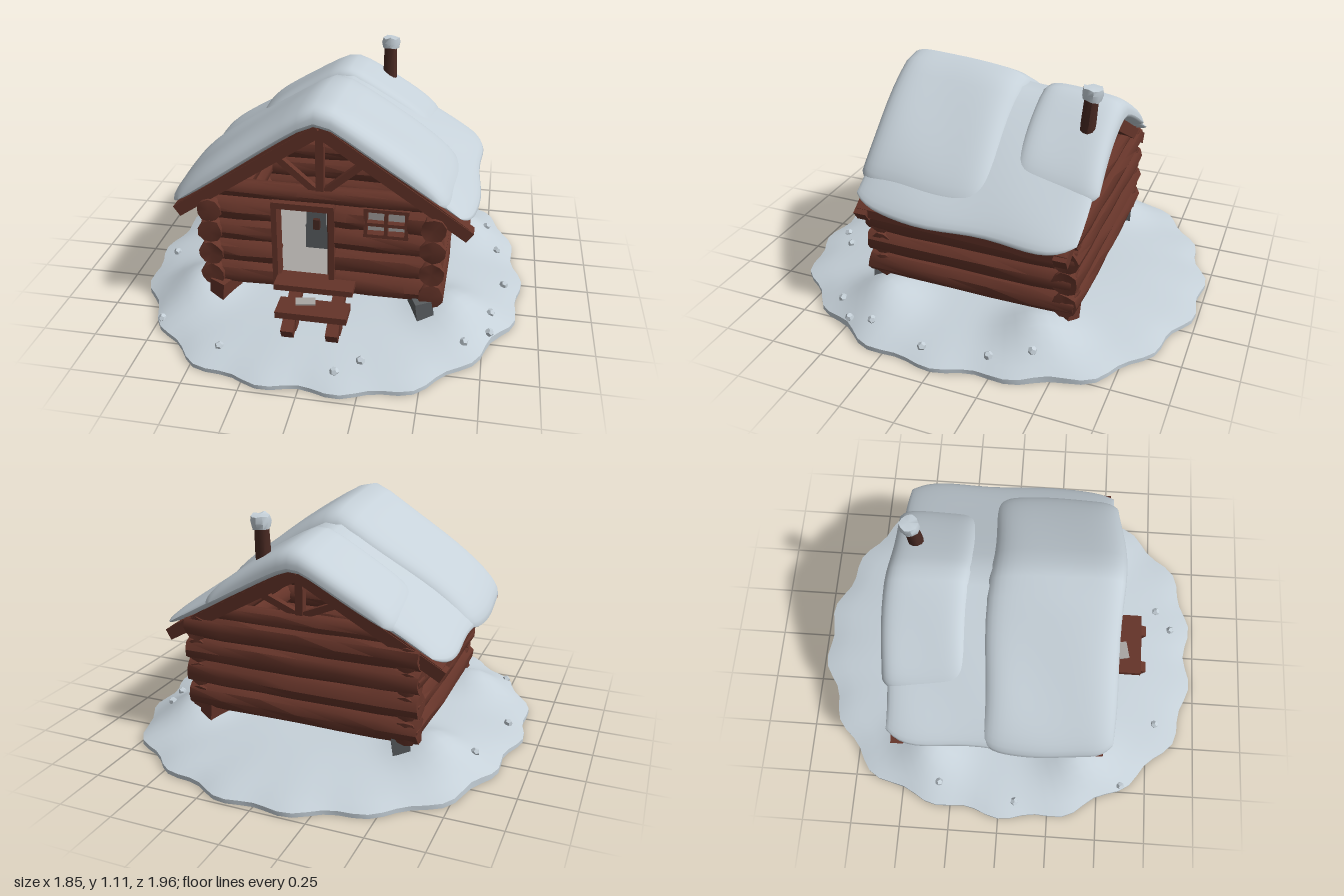
import * as THREE from 'three';
import { mergeVertices, toCreasedNormals } from 'three/addons/utils/BufferGeometryUtils.js';
import { ConvexGeometry } from 'three/addons/geometries/ConvexGeometry.js';

const material = (name, color) => Object.assign(new THREE.MeshStandardMaterial({ color }), { name });
const V = (x, y, z) => new THREE.Vector3(x, y, z);

export function createModel() {
  const model = new THREE.Group();
  model.name = 'snowyCabin';
  const snow = material('snow', 0xc6d1d9);
  const wood = material('redBrownWood', 0x653429);
  const darkWood = material('darkWood', 0x4a2a23);
  const stone = material('darkGrey', 0x5c6063);
  const pale = material('paleGrey', 0xa9a5a2);

  let seed = 7;
  const rand = () => (seed = (seed * 16807) % 2147483647) / 2147483647 - 0.5;

  const add = (name, geo, mat) => {
    const m = new THREE.Mesh(geo, mat);
    m.name = name;
    model.add(m);
    return m;
  };
  const box = (name, mat, w, h, d, x, y, z) => {
    const m = add(name, new THREE.BoxGeometry(w, h, d), mat);
    m.position.set(x, y, z);
    return m;
  };
  const span = (m, a, b) => {
    m.position.copy(a).add(b).multiplyScalar(0.5);
    m.quaternion.setFromUnitVectors(V(0, 1, 0), b.clone().sub(a).normalize());
    return m;
  };
  // Square timber between two points
  const beam = (name, a, b, w, d = w) =>
    span(add(name, new THREE.BoxGeometry(w, a.distanceTo(b), d), wood), a, b);

  // Uneven round log between two points
  const log = (name, a, b, r = 0.061, mat = wood) => {
    const len = a.distanceTo(b);
    let g = new THREE.CylinderGeometry(r, r, len, 10, Math.max(2, Math.round(len / 0.2)));
    g.deleteAttribute('uv');
    g.deleteAttribute('normal');
    g = mergeVertices(g);
    const p = g.attributes.position;
    for (let i = 0; i < p.count; i++) {
      const end = Math.abs(p.getY(i)) > len / 2 - 0.001 ? 0.92 : 1;
      const s = end * (1 + rand() * 0.12);
      p.setXYZ(i, p.getX(i) * s, p.getY(i) + rand() * 0.012, p.getZ(i) * s);
    }
    return span(add(name, toCreasedNormals(g, 0.7), mat), a, b);
  };

  // Snowy ground with a scalloped rim and four drifts
  const height = (x, z, t) => {
    let h = 0.02 + 0.1 * Math.pow(Math.max(0, 1 - t * t), 0.8);
    for (const sx of [-1, 1]) for (const sz of [-1, 1]) {
      const d = (x - sx * 0.6) ** 2 + (z - sz * 0.38) ** 2;
      h += 0.09 * Math.exp(-d / 0.026);
    }
    return h + 0.006 * Math.sin(9 * x + 2) * Math.cos(8 * z) * (1 - t);
  };
  const profile = [new THREE.Vector2(0, 0), new THREE.Vector2(1, 0)];
  for (let i = 18; i >= 0; i--) profile.push(new THREE.Vector2(i / 18, 1));
  let ground = new THREE.LatheGeometry(profile, 96);
  const gp = ground.attributes.position;
  for (let i = 0; i < gp.count; i++) {
    const x = gp.getX(i), z = gp.getZ(i), t = Math.min(1, Math.hypot(x, z));
    const a = Math.atan2(z, x);
    const rim = 1 + t ** 4 * (0.018 * Math.cos(18 * a) + 0.012 * Math.sin(7 * a) - 0.01);
    const square = 1 + 0.035 * Math.sin(2 * a) ** 2;
    const px = x * 0.92 * rim * square, pz = z * 0.985 * rim * square;
    gp.setXYZ(i, px, gp.getY(i) > 0.5 ? height(px, pz, t) : 0, pz);
  }
  ground.deleteAttribute('uv');
  ground.deleteAttribute('normal');
  ground = mergeVertices(ground, 1e-5);
  add('snowyGround', toCreasedNormals(ground, 0.8), snow);

  // Snow lumps on the ground
  const lumps = [[-0.77, -0.31], [0.8, -0.22], [0.74, -0.4], [-0.84, 0.08], [0.84, 0.08], [0.78, 0.36],
    [0.78, 0.48], [0.67, 0.58], [0.24, 0.79], [0.14, 0.87], [-0.39, 0.79], [-0.72, 0.62]];
  for (const [x, z] of lumps) {
    const m = add('snowLump', new THREE.DodecahedronGeometry(0.021), snow);
    m.position.set(x, height(x, z, Math.hypot(x / 0.93, z)) + 0.004, z);
    m.rotation.set(x * 5, z * 4, 0);
  }

  // Log walls
  for (const y of [0.215, 0.33, 0.445, 0.555]) {
    for (const s of [-1, 1]) log('sideLog', V(s * 0.505, y, 0.49), V(s * 0.505, y, -0.52), 0.062);
    log('backLog', V(-0.56, y + 0.005, -0.475), V(0.56, y + 0.005, -0.475), 0.064);
    log('frontLogLeft', V(-0.55, y, 0.42), V(-0.2, y, 0.42));
    if (y < 0.5) log('frontLogRight', V(0.05, y, 0.42), V(0.55, y, 0.42));
    else {
      log('frontLogRight', V(0.05, y, 0.42), V(0.2, y, 0.42));
      log('frontLogRight', V(0.39, y, 0.42), V(0.55, y, 0.42));
    }
  }
  log('frontTieLog', V(-0.5, 0.655, 0.43), V(0.5, 0.655, 0.43), 0.042);
  log('backTieLog', V(-0.5, 0.64, -0.47), V(0.5, 0.64, -0.47), 0.042);
  box('floor', pale, 0.94, 0.02, 0.88, 0, 0.19, -0.02);
  box('floorFrame', wood, 0.92, 0.03, 0.86, 0, 0.165, -0.02);

  // Corner footings
  for (const sx of [-1, 1]) for (const sz of [-1, 1]) {
    const m = box('footing', sx === sz ? stone : wood, 0.08, 0.12, 0.14, sx * 0.46, 0.13, sz * 0.44);
    m.rotation.set(0, sx * sz * 0.4, 0.12 * sx);
  }

  // Doorway, inner panels and latch
  for (const x of [-0.205, 0.055]) box('doorPost', wood, 0.025, 0.44, 0.09, x, 0.4, 0.44);
  box('doorSill', wood, 0.27, 0.06, 0.08, -0.075, 0.19, 0.44);
  box('doorLintel', wood, 0.28, 0.03, 0.1, -0.075, 0.612, 0.44);
  box('doorPanelUpper', stone, 0.09, 0.15, 0.012, -0.035, 0.53, 0.37);
  box('doorPanelLower', stone, 0.12, 0.12, 0.012, -0.025, 0.4, 0.365);
  box('doorLatch', darkWood, 0.03, 0.05, 0.02, -0.03, 0.48, 0.39);
  box('doorEdge', darkWood, 0.03, 0.4, 0.03, 0.035, 0.4, 0.38);

  // Window
  box('windowPane', pale, 0.19, 0.13, 0.008, 0.295, 0.555, 0.43);
  for (const x of [0.205, 0.295, 0.385]) box('windowUpright', wood, 0.016, 0.13, 0.03, x, 0.555, 0.455);
  for (const y of [0.492, 0.55, 0.618]) box('windowBar', wood, 0.2, 0.016, 0.03, 0.295, y, 0.455);

  // Steps
  for (const x of [-0.1, 0.1]) {
    beam('stringer', V(x, 0.22, 0.46), V(x, 0.1, 0.72), 0.055, 0.05);
    box('stepLeg', wood, 0.06, 0.09, 0.06, x, 0.13, 0.64);
  }
  box('upperTread', wood, 0.36, 0.028, 0.09, -0.015, 0.236, 0.52);
  box('lowerTread', wood, 0.32, 0.032, 0.12, 0, 0.18, 0.635);
  const patch = box('treadSnow', pale, 0.09, 0.008, 0.05, -0.04, 0.2, 0.6);
  patch.rotation.y = 0.2;

  // Roof: the ridge falls from front to back
  const ridge = (z) => 0.977 + 0.115 * z;
  const slope = (z) => 0.645 + 0.13 * z;
  const deck = (x, z) => ridge(z) - slope(z) * Math.abs(x);
  for (const s of [-1, 1]) {
    const pts = [];
    for (const z of [0.47, -0.51]) for (const x of [0, 0.655]) for (const d of [0, -0.04])
      pts.push(V(s * x, deck(x, z) + d, z));
    add('roofBoards', new ConvexGeometry(pts), wood);
    for (const z of [0.445, -0.485])
      beam('rafter', V(0, deck(0, z) - 0.05, z), V(s * 0.66, deck(0.66, z) - 0.035, z), 0.055, 0.06);
    for (const z of [0.44, -0.47])
      beam('trussStrut', V(s * 0.02, 0.68, z), V(s * 0.2, deck(0.2, z) - 0.05, z), 0.03);
  }
  for (const z of [0.44, -0.47]) beam('kingPost', V(0, 0.66, z), V(0, ridge(z) - 0.03, z), 0.036);
  beam('ridgeBeam', V(0, ridge(0.45) - 0.06, 0.45), V(0, ridge(-0.5) - 0.06, -0.5), 0.045);

  // Rounded snow blanket lofted along z over the roof
  const blanket = (name, x0, x1, z0, z1, thick, under) => {
    const n = 25, stations = 24, pos = [], idx = [], ring = 2 * n;
    const edge = (u) => Math.pow(Math.max(0, 1 - Math.abs(u) ** 6), 0.45);
    for (let j = 0; j <= stations; j++) {
      const s = -Math.cos((Math.PI * j) / stations);
      const z = (z0 + z1) / 2 + ((z1 - z0) / 2) * s;
      for (let k = 0; k < ring; k++) {
        const u = -Math.cos((Math.PI * k) / n);
        const half = ((x1 - x0) / 2) * (1 - 0.09 * Math.abs(s) ** 8);
        const x = (x0 + x1) / 2 + half * u + 0.008 * Math.sin(z * 11) * u;
        const w = edge(u) * edge(s);
        const base = ridge(z) + 0.03 - slope(z) * Math.sqrt(x * x + 0.003);
        const bump = 0.006 * Math.sin(8 * x + 5 * z) * Math.cos(7 * z);
        pos.push(x, base + w * (k <= n ? thick + bump : -under),
          z + 0.008 * Math.sin(9 * x) * s * s);
      }
    }
    for (let j = 0; j < stations; j++) for (let k = 0; k < ring; k++) {
      const a = j * ring + k, b = j * ring + ((k + 1) % ring);
      idx.push(a, b, b + ring, a, b + ring, a + ring);
    }
    const g = new THREE.BufferGeometry();
    g.setAttribute('position', new THREE.Float32BufferAttribute(pos, 3));
    g.setIndex(idx);
    g.computeVertexNormals();
    add(name, g, snow);
  };
  blanket('roofSnow', -0.68, 0.685, 0.49, -0.54, 0.045, 0.045);
  blanket('frontSnowLayer', -0.695, 0.59, 0.51, -0.1, 0.088, 0.03);
  blanket('backSnowLayer', -0.455, 0.445, -0.17, -0.565, 0.072, 0.03);

  // Chimney with snow cap
  log('chimney', V(0.19, 0.82, -0.435), V(0.185, 1.06, -0.455), 0.035, darkWood);
  log('chimneySnowCap', V(0.187, 1.05, -0.455), V(0.187, 1.102, -0.46), 0.047, snow);

  return model;
}
